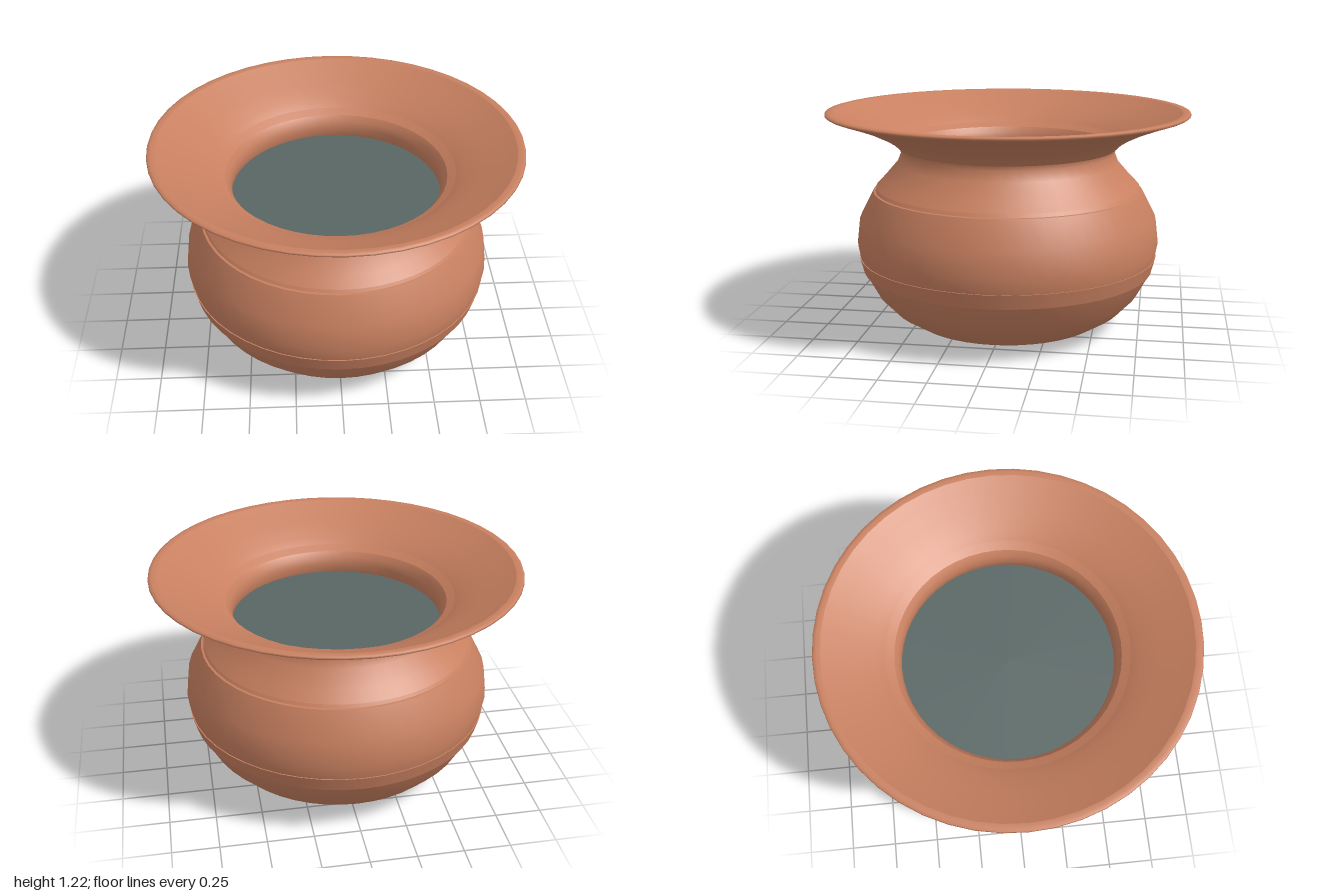
import * as THREE from 'three';

const SEGMENTS = 48;

export function createModel() {
  const group = new THREE.Group();
  const copper = new THREE.MeshStandardMaterial({ color: 0xc88060, side: THREE.DoubleSide });
  const water = new THREE.MeshStandardMaterial({ color: 0x586664 });

  // Revolve a [radius, height] profile; separate parts keep crisp edges between them
  const turn = (name, profile) => {
    const points = profile.map(([r, y]) => new THREE.Vector2(r, y));
    const mesh = new THREE.Mesh(new THREE.LatheGeometry(points, SEGMENTS), copper);
    mesh.name = name;
    group.add(mesh);
  };

  // Rounded bowl, split by a shallow belt and a narrow groove
  turn('base', [[0, 0], [0.38, 0]]);
  turn('lowerBowl', [[0.38, 0], [0.45, 0.01], [0.545, 0.04], [0.655, 0.11], [0.74, 0.2], [0.81, 0.33]]);
  turn('beltLowerEdge', [[0.81, 0.33], [0.815, 0.33]]);
  turn('belt', [[0.815, 0.33], [0.836, 0.41]]);
  turn('beltUpperEdge', [[0.836, 0.41], [0.83, 0.41]]);
  turn('middleBowl', [[0.83, 0.41], [0.845, 0.487], [0.828, 0.625], [0.75, 0.775]]);
  turn('grooveLowerEdge', [[0.75, 0.775], [0.738, 0.777]]);
  turn('groove', [[0.738, 0.777], [0.725, 0.796]]);
  turn('grooveUpperEdge', [[0.725, 0.796], [0.735, 0.798]]);
  turn('shoulder', [[0.735, 0.798], [0.685, 0.85], [0.615, 0.93], [0.593, 0.985], [0.6, 1.01]]);

  // Outside of the flared mouth
  turn('neckCollar', [[0.6, 1.01], [0.64, 1.048]]);
  turn('flareOutside', [[0.64, 1.048], [0.69, 1.08], [0.795, 1.13], [0.895, 1.168], [0.99, 1.2]]);
  turn('rimLip', [[0.99, 1.2], [1, 1.207], [0.997, 1.216], [0.98, 1.22], [0.957, 1.217]]);

  // Inside of the mouth, running down below the water
  turn('flareInside', [[0.957, 1.217], [0.88, 1.178], [0.78, 1.132], [0.69, 1.086], [0.645, 1.055]]);
  turn('throatBevel', [[0.645, 1.055], [0.6, 1.03]]);
  turn('throat', [[0.6, 1.03], [0.578, 1], [0.567, 0.96], [0.572, 0.9], [0.6, 0.86]]);

  // Water filling the bowl up to the neck
  const surface = new THREE.Mesh(new THREE.CircleGeometry(0.572, SEGMENTS), water);
  surface.name = 'waterSurface';
  surface.rotation.x = -Math.PI / 2;
  surface.position.y = 0.91;
  group.add(surface);

  return group;
}
